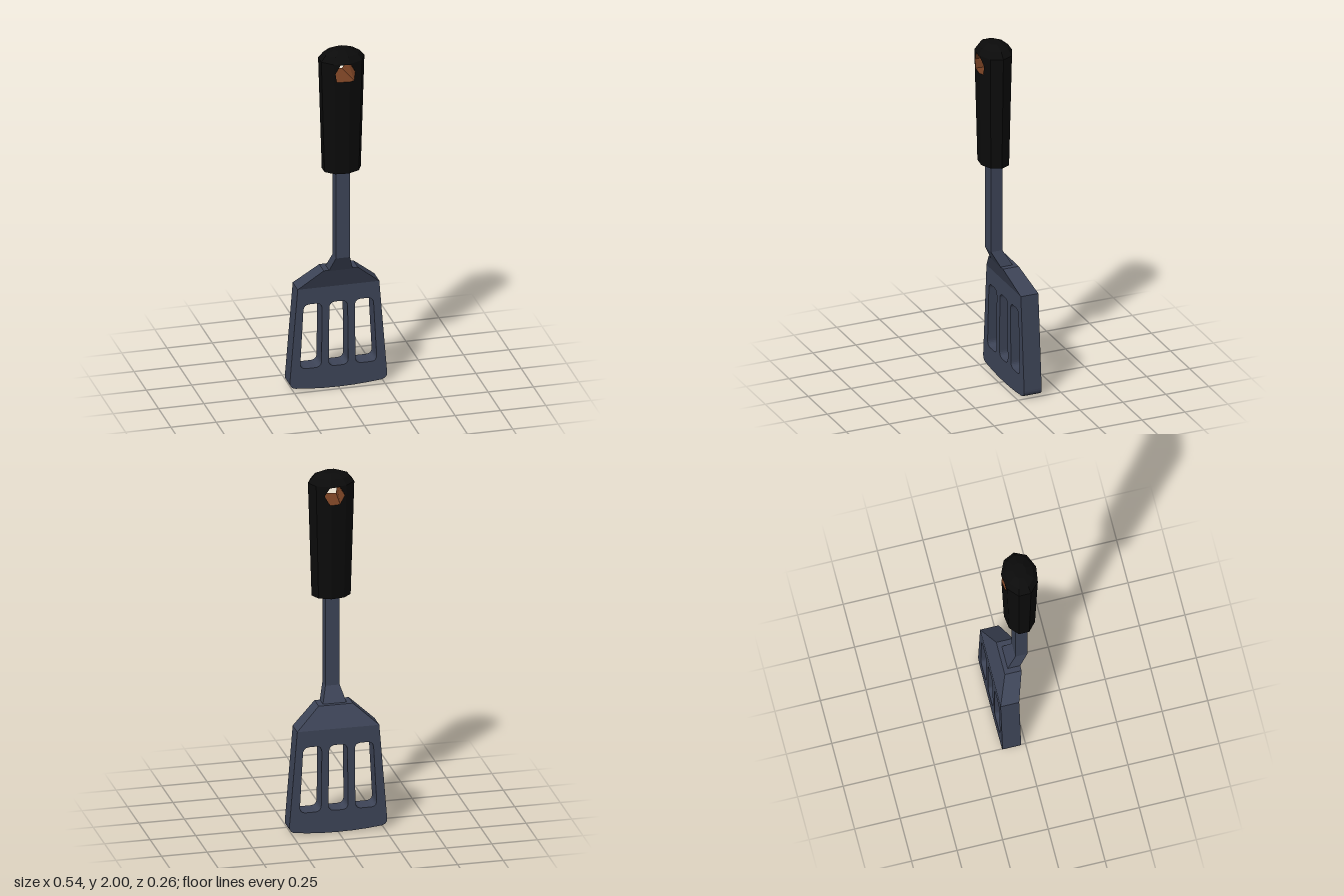
import * as THREE from 'three';

const V = (x, y, z) => new THREE.Vector3(x, y, z);
const mat = (color, side = THREE.FrontSide) =>
  new THREE.MeshStandardMaterial({ color, side, flatShading: true });

// Skin between rings of points, listed bottom to top, with optional end caps
function loft(rings, capBottom = true, capTop = true) {
  const pts = [];
  const n = rings[0].length;
  for (let j = 0; j + 1 < rings.length; j++)
    for (let k = 0; k < n; k++) {
      const a = rings[j][k], b = rings[j][(k + 1) % n];
      const c = rings[j + 1][k], d = rings[j + 1][(k + 1) % n];
      pts.push(a, c, b, b, c, d);
    }
  const top = rings[rings.length - 1], bottom = rings[0];
  for (let k = 1; k + 1 < n; k++) {
    if (capTop) pts.push(top[0], top[k + 1], top[k]);
    if (capBottom) pts.push(bottom[0], bottom[k], bottom[k + 1]);
  }
  const g = new THREE.BufferGeometry().setFromPoints(pts);
  g.computeVertexNormals();
  return g;
}

// Rectangular cross-section
const rect = ([y, h, zBack, zFront]) =>
  [V(h, y, zBack), V(h, y, zFront), V(-h, y, zFront), V(-h, y, zBack)];

// Closed path with rounded corners
function roundedPath(target, pts, r) {
  const p = pts.map(([x, y]) => new THREE.Vector2(x, y));
  p.forEach((c, i) => {
    const prev = p[(i + p.length - 1) % p.length], next = p[(i + 1) % p.length];
    const a = c.clone().add(prev.clone().sub(c).setLength(r));
    const b = c.clone().add(next.clone().sub(c).setLength(r));
    if (i === 0) target.moveTo(a.x, a.y);
    else target.lineTo(a.x, a.y);
    target.quadraticCurveTo(c.x, c.y, b.x, b.y);
  });
  target.closePath();
  return target;
}

// Nine-sided tapered grip
const SIDES = 9, DEPTH = 0.77, GRIP_Z = 0.03, Y0 = 1.3, Y1 = 1.945;
const radius = y => 0.107 + 0.02 * (y - Y0) / (Y1 - Y0);
const cos = k => Math.cos(k * 2 * Math.PI / SIDES);
const sin = k => Math.sin(k * 2 * Math.PI / SIDES);
const gripPoint = (k, y, r) => V(cos(k) * r, y, GRIP_Z + sin(k) * r * DEPTH);
const gripRing = (y, r) => Array.from({ length: SIDES }, (_, k) => gripPoint(k, y, r));

// Point on facet k (1 or 2) of the front (side 1) or back (side -1)
function onFacet(k, side, x, y) {
  const r = radius(y), u = (x / r - cos(k)) / (cos(k + 1) - cos(k));
  return V(x, y, GRIP_Z + side * DEPTH * r * (sin(k) + u * (sin(k + 1) - sin(k))));
}

// Half of the hexagonal hanging hole, from the facet seam around to the seam
function halfHole(k, side) {
  const s = k === 1 ? 1 : -1, low = side > 0 ? 0.048 : 0.028;
  return [[cos(2) * radius(1.84), 1.84], [s * low, 1.84], [s * 0.055, 1.89],
    [s * 0.028, 1.94], [cos(2) * radius(1.94), 1.94]];
}

function holedFacet(k, side) {
  const outer = k === 1 ? 1 : 3;
  const at = (i, y) => [cos(i) * radius(y), y];
  const outline = [at(2, Y0), ...halfHole(k, side), at(2, Y1), at(outer, Y1), at(outer, Y0)];
  const g = new THREE.ShapeGeometry(new THREE.Shape(outline.map(p => new THREE.Vector2(...p))));
  const pos = g.attributes.position;
  for (let i = 0; i < pos.count; i++)
    pos.setZ(i, onFacet(k, side, pos.getX(i), pos.getY(i)).z);
  if (side < 0) g.setIndex(Array.from(g.index.array).reverse());
  g.computeVertexNormals();
  return g;
}

export function createModel() {
  const model = new THREE.Group();
  const steel = mat(0x3d4457), black = mat(0x0b0b0b), brown = mat(0x743f22, THREE.DoubleSide);
  const add = (parent, name, geometry, material) => {
    const m = new THREE.Mesh(geometry, material);
    m.name = name;
    parent.add(m);
    return m;
  };

  // Slotted blade with a gently bowed lower edge
  const shape = new THREE.Shape();
  shape.moveTo(-0.225, 0.59);
  shape.lineTo(-0.268, 0.055);
  shape.quadraticCurveTo(-0.271, 0.02, -0.235, 0.014);
  shape.quadraticCurveTo(0, -0.014, 0.235, 0.014);
  shape.quadraticCurveTo(0.271, 0.02, 0.268, 0.055);
  shape.lineTo(0.225, 0.59);
  shape.closePath();
  shape.holes.push(roundedPath(new THREE.Path(),
    [[-0.054, 0.125], [-0.05, 0.498], [0.05, 0.498], [0.054, 0.125]], 0.035));
  for (const s of [-1, 1])
    shape.holes.push(roundedPath(new THREE.Path(),
      [[s * 0.212, 0.125], [s * 0.192, 0.498], [s * 0.09, 0.498], [s * 0.094, 0.125]], 0.035));
  const blade = new THREE.ExtrudeGeometry(shape, { depth: 0.102, bevelEnabled: false, curveSegments: 6 });
  add(model, 'blade', blade.translate(0, 0, -0.13), steel);

  // Shoulder leaning forward, then the cranked neck and shaft
  add(model, 'shoulder', loft([
    [0.59, 0.225, -0.13, -0.028], [0.705, 0.094, -0.074, 0.018]].map(rect), false), steel);
  add(model, 'shaft', loft([
    [0.7, 0.066, -0.054, 0.016], [0.79, 0.039, -0.003, 0.063], [1.32, 0.039, -0.003, 0.063]].map(rect)), steel);

  // Grip: plain facets, pierced facets, domed end and base
  const grip = new THREE.Group();
  grip.name = 'grip';
  model.add(grip);
  for (const k of [0, 3, 4, 5, 8]) {
    const a = gripPoint(k, Y0, radius(Y0)), b = gripPoint(k + 1, Y0, radius(Y0));
    const c = gripPoint(k, Y1, radius(Y1)), d = gripPoint(k + 1, Y1, radius(Y1));
    const g = new THREE.BufferGeometry().setFromPoints([a, c, b, b, c, d]);
    g.computeVertexNormals();
    add(grip, 'gripFacet', g, black);
  }
  for (const side of [1, -1])
    for (const k of [1, 2]) add(grip, 'piercedFacet', holedFacet(k, side), black);
  const R = radius(Y1);
  add(grip, 'gripEnd', loft([[Y1, 1], [1.978, 0.78], [2, 0.36]].map(([y, f]) => gripRing(y, f * R)), false), black);
  add(grip, 'gripBase', loft([gripRing(Y0, radius(Y0)), gripRing(Y0 + 0.01, radius(Y0))], true, false), black);

  // Lining of the hanging hole
  const loop = side => [
    ...halfHole(1, side).map(p => onFacet(1, side, ...p)),
    ...halfHole(2, side).reverse().slice(1, -1).map(p => onFacet(2, side, ...p))];
  add(grip, 'hangingHole', loft([loop(-1), loop(1)], false, false), brown);

  return model;
}
